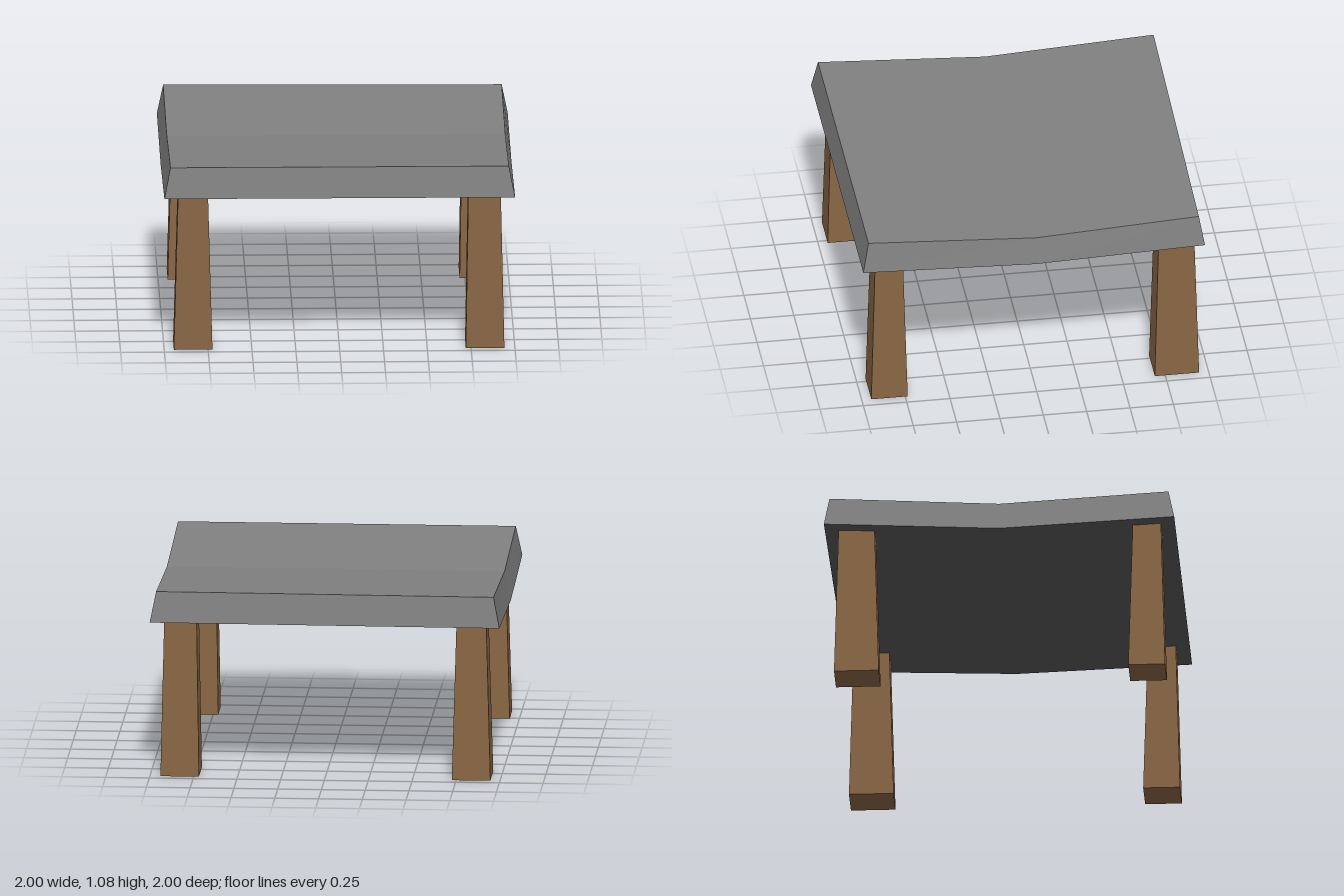
import * as THREE from 'three';

const stone = new THREE.MeshStandardMaterial({ color: 0x808080, flatShading: true });
stone.name = 'stone grey';
const shade = new THREE.MeshStandardMaterial({ color: 0x585858, flatShading: true });
shade.name = 'dark underside grey';
const wood = new THREE.MeshStandardMaterial({ color: 0x886644, flatShading: true });
wood.name = 'wood brown';

// Mesh from a list of four-cornered faces, corners counter-clockwise
function facesMesh(name, faces, material) {
  const points = faces.flatMap(([a, b, c, d]) => [a, b, c, a, c, d]);
  const geometry = new THREE.BufferGeometry();
  geometry.setAttribute('position', new THREE.Float32BufferAttribute(points.flat(), 3));
  geometry.computeVertexNormals();
  const mesh = new THREE.Mesh(geometry, material);
  mesh.name = name;
  return mesh;
}

// Sagging slab: cross-sections from back to front,
// each running bottom left, bottom right, top right, top left
function createSlab() {
  const rows = [
    [[-1, 0.9, -1], [1, 0.9, -0.97], [0.965, 1.075, -0.94], [-0.965, 1.075, -0.97]],
    [[-1, 0.85, 0], [1, 0.865, 0], [0.965, 1.02, 0], [-0.965, 1.02, 0]],
    [[-1, 0.9, 1], [1, 0.9, 1], [0.965, 1.075, 0.965], [-0.965, 1.075, 0.965]],
  ];
  const outer = [];
  const under = [];
  for (let i = 0; i < rows.length - 1; i++) {
    const b = rows[i];
    const f = rows[i + 1];
    under.push([b[0], b[1], f[1], f[0]]);
    for (let k = 1; k < 4; k++) {
      const n = (k + 1) % 4;
      outer.push([f[k], b[k], b[n], f[n]]);
    }
  }
  const [back, , front] = rows;
  outer.push(front, [back[1], back[0], back[3], back[2]]);

  const slab = new THREE.Group();
  slab.name = 'slab';
  slab.add(facesMesh('slabTopAndSides', outer, stone), facesMesh('slabUnderside', under, shade));
  return slab;
}

// Tapered leg: x and z ranges at the foot and at the top
function createLeg(name, foot, top) {
  const geometry = new THREE.BoxGeometry(1, 1, 1);
  const p = geometry.attributes.position;
  for (let i = 0; i < p.count; i++) {
    const [x0, x1, z0, z1] = p.getY(i) > 0 ? top : foot;
    p.setXYZ(i, p.getX(i) > 0 ? x1 : x0, p.getY(i) > 0 ? 0.91 : 0, p.getZ(i) > 0 ? z1 : z0);
  }
  geometry.computeVertexNormals();
  const leg = new THREE.Mesh(geometry, wood);
  leg.name = name;
  return leg;
}

export function createModel() {
  const model = new THREE.Group();
  model.name = 'table';
  model.add(createSlab());

  // The back legs are a little deeper than the front ones
  const sides = { Right: [[-0.945, -0.725], [-0.92, -0.75]], Left: [[0.72, 0.94], [0.735, 0.92]] };
  const ends = { front: [[0.735, 0.945], [0.76, 0.92]], back: [[-0.945, -0.69], [-0.92, -0.715]] };
  for (const [side, x] of Object.entries(sides)) {
    for (const [end, z] of Object.entries(ends)) {
      model.add(createLeg(`${end}${side}Leg`, [...x[0], ...z[0]], [...x[1], ...z[1]]));
    }
  }
  return model;
}
